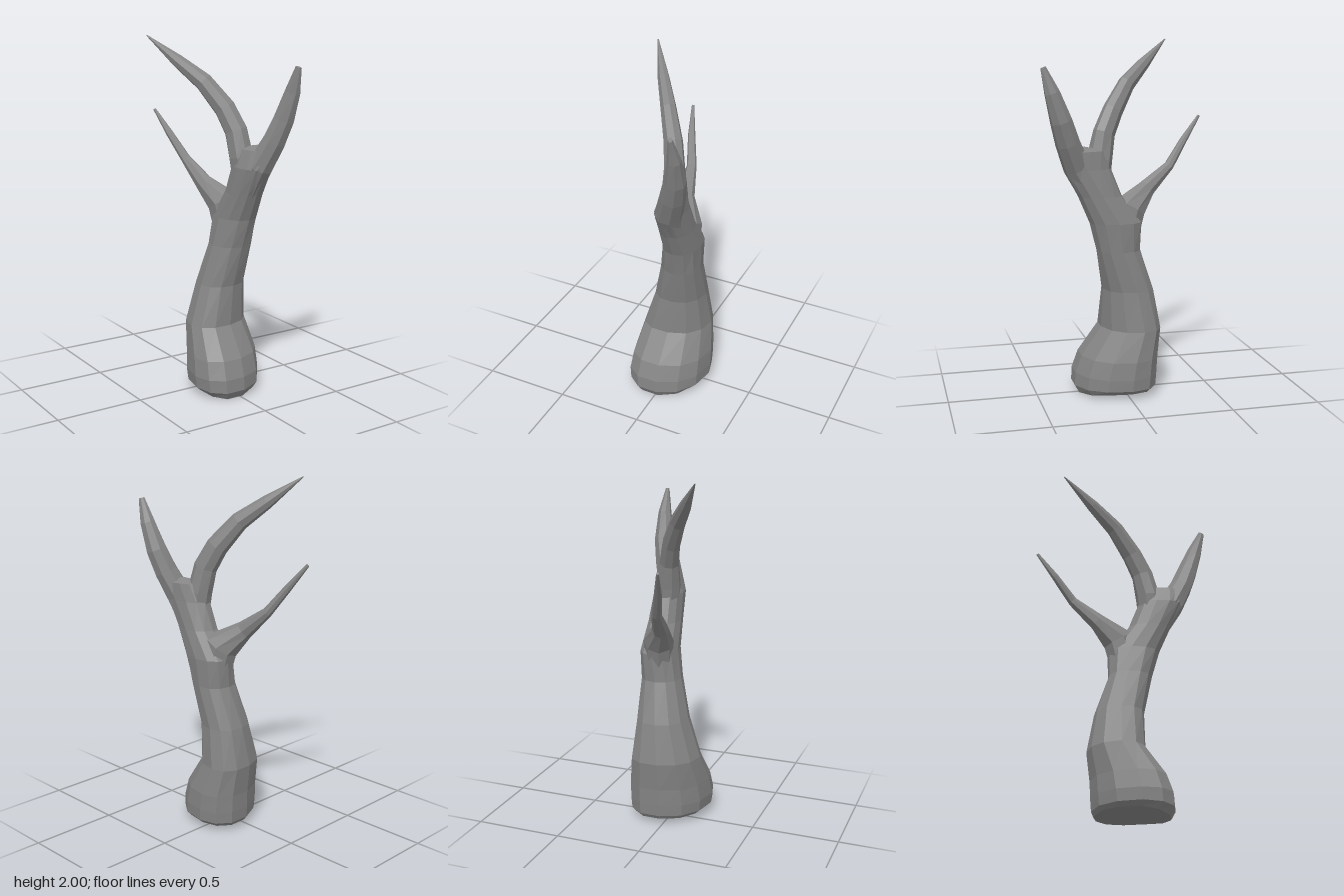
import * as THREE from 'three';

const material = new THREE.MeshStandardMaterial({ color: 0x858585, flatShading: true });

// Skins a list of equal-length rings and closes both ends with a centre point.
function loft(name, rings, startLift = 0, endLift = 0) {
  const n = rings[0].length, pos = [], index = [];
  rings.forEach(ring => ring.forEach(p => pos.push(p.x, p.y, p.z)));
  for (let i = 0; i < rings.length - 1; i++) {
    for (let j = 0; j < n; j++) {
      const a = i * n + j, b = i * n + (j + 1) % n;
      index.push(a, a + n, b, b, a + n, b + n);
    }
  }
  const cap = (ring, first, lift, flip) => {
    const c = ring.reduce((s, p) => s.add(p), new THREE.Vector3()).divideScalar(n);
    const k = pos.length / 3;
    pos.push(c.x, c.y + lift, c.z);
    for (let j = 0; j < n; j++) {
      const a = first + j, b = first + (j + 1) % n;
      index.push(k, flip ? b : a, flip ? a : b);
    }
  };
  cap(rings[0], 0, startLift, false);
  cap(rings[rings.length - 1], (rings.length - 1) * n, endLift, true);
  const g = new THREE.BufferGeometry();
  g.setAttribute('position', new THREE.Float32BufferAttribute(pos, 3));
  g.setIndex(index);
  g.computeVertexNormals();
  const mesh = new THREE.Mesh(g, material);
  mesh.name = name;
  return mesh;
}

// Level trunk ring from its x and z extents; skew leans the oval in plan, dip lowers its front.
function trunkRing([y, x0, x1, z0, z1, skew, dip = 0], sides = 12) {
  const full = v => Math.sign(v) * Math.abs(v) ** 0.9;
  return Array.from({ length: sides }, (_, j) => {
    const t = j / sides * Math.PI * 2, s = full(Math.sin(t + skew));
    return new THREE.Vector3(
      (x0 + x1) / 2 + (x1 - x0) / 2 * full(Math.cos(t)),
      y - dip * Math.max(0, s) ** 2,
      (z0 + z1) / 2 + (z1 - z0) / 2 * s * 1.02);
  });
}

// Tapered branch along points [x, y, z, half width, half depth]; side is the width direction.
function branch(name, pts, side, sides = 8) {
  const centers = pts.map(p => new THREE.Vector3(p[0], p[1], p[2]));
  const across = new THREE.Vector3(...side);
  const rings = pts.map((p, i) => {
    const t = centers[Math.min(i + 1, pts.length - 1)].clone()
      .sub(centers[Math.max(i - 1, 0)]).normalize();
    const u = across.clone().addScaledVector(t, -t.dot(across)).normalize();
    const v = u.clone().cross(t);
    return Array.from({ length: sides }, (_, j) => {
      const a = j / sides * Math.PI * 2;
      return centers[i].clone()
        .addScaledVector(u, Math.cos(a) * p[3])
        .addScaledVector(v, Math.sin(a) * p[4]);
    });
  });
  return loft(name, rings);
}

export function createModel() {
  const tree = new THREE.Group();
  tree.name = 'deadTree';

  // Trunk: swollen foot, S-bend, widening towards the fork
  const trunk = [
    [0.032, -0.175, 0.21, -0.15, 0.26, -0.25, 0.032],
    [0.055, -0.203, 0.233, -0.165, 0.285, -0.25, 0.01],
    [0.12, -0.21, 0.237, -0.17, 0.28, -0.25],
    [0.22, -0.20, 0.235, -0.175, 0.245, -0.25],
    [0.385, -0.17, 0.21, -0.195, 0.13, -0.25],
    [0.61, -0.10, 0.187, -0.155, 0.12, -0.15],
    [0.84, -0.042, 0.187, -0.08, 0.163, 0],
    [1.00, -0.015, 0.195, -0.085, 0.205, 0],
    [1.15, 0, 0.185, 0.03, 0.27, 0],
    [1.30, 0.008, 0.18, 0.09, 0.35, 0.1],
    [1.40, 0.045, 0.18, 0.12, 0.37, 0.3],
  ].map(r => trunkRing(r));
  tree.add(loft('trunk', trunk, 0.02, 0.025));

  // Tall branch sweeping up and back
  tree.add(branch('tallBranch', [
    [0.09, 1.15, 0.16, 0.06, 0.06],
    [0.075, 1.35, 0.148, 0.072, 0.07],
    [0.06, 1.49, 0.118, 0.057, 0.066],
    [0.025, 1.61, 0.06, 0.052, 0.062],
    [-0.05, 1.75, -0.036, 0.043, 0.052],
    [-0.14, 1.86, -0.16, 0.032, 0.037],
    [-0.248, 1.998, -0.318, 0.003, 0.003],
  ], [0.8, 0, -0.6]));

  // Short thick branch leaning forward
  tree.add(branch('frontBranch', [
    [0.095, 1.15, 0.20, 0.07, 0.06],
    [0.105, 1.31, 0.28, 0.078, 0.075],
    [0.155, 1.45, 0.34, 0.07, 0.066],
    [0.188, 1.57, 0.38, 0.06, 0.06],
    [0.207, 1.72, 0.43, 0.038, 0.045],
    [0.208, 1.852, 0.476, 0.011, 0.018],
  ], [0.9, 0, -0.45]));

  // Thin low branch reaching backward
  tree.add(branch('backBranch', [
    [0.09, 0.86, 0.03, 0.08, 0.09],
    [0.07, 1.07, -0.02, 0.085, 0.10],
    [0.01, 1.17, -0.14, 0.047, 0.052],
    [-0.022, 1.29, -0.28, 0.028, 0.028],
    [-0.07, 1.43, -0.38, 0.021, 0.021],
    [-0.11, 1.563, -0.482, 0.007, 0.009],
  ], [0.93, 0, -0.36]));

  return tree;
}
